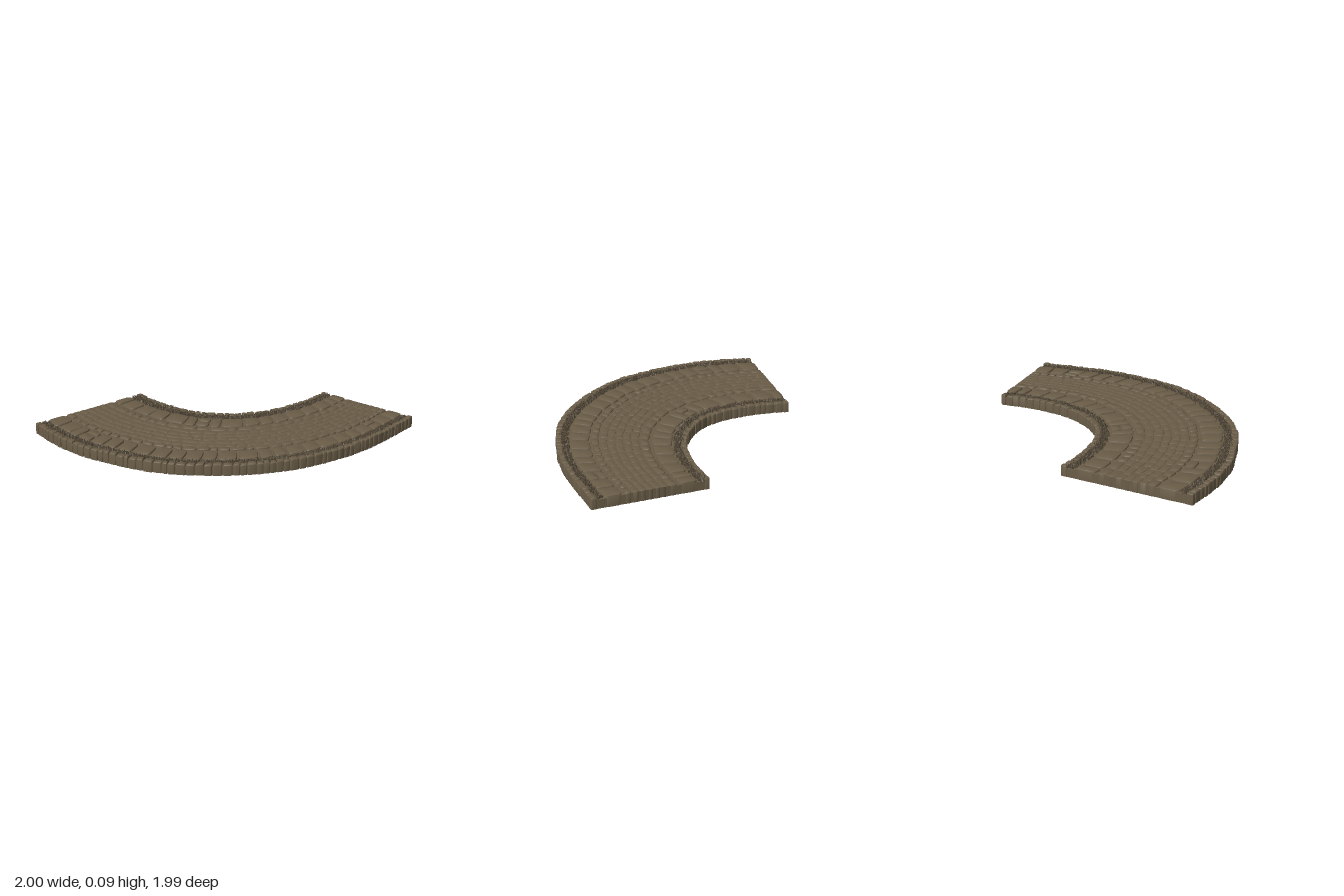
import * as THREE from 'three';
import { toCreasedNormals } from 'three/addons/utils/BufferGeometryUtils.js';

// Seeded random numbers
let seed = 7;
function rand(a = 0, b = 1) {
  seed = (seed * 16807) % 2147483647;
  return a + (b - a) * (seed / 2147483647);
}

const curve = pts => {
  const c = new THREE.CatmullRomCurve3(pts.map(([x, z]) => new THREE.Vector3(x, 0, z)), false, 'centripetal');
  c.arcLengthDivisions = 400;
  return c;
};
const outer = curve([[-0.91, -1], [-0.96, -0.8], [-0.99, -0.6], [-0.995, -0.42], [-0.97, -0.22], [-0.91, 0.05],
  [-0.8, 0.29], [-0.62, 0.52], [-0.4, 0.72], [-0.15, 0.86], [0.1, 0.94], [0.35, 0.985], [0.6, 0.995], [0.8, 0.985], [1, 0.975]]);
const inner = curve([[0.05, -0.88], [0.02, -0.7], [0.01, -0.5], [0.035, -0.32], [0.1, -0.17], [0.22, -0.03],
  [0.38, 0.07], [0.55, 0.13], [0.75, 0.16], [1, 0.16]]);

// Road coordinates: u runs along the bend, v from the outer to the inner edge
function place(u, v, y) {
  const t = THREE.MathUtils.clamp(u, 0, 1);
  const p = outer.getPointAt(t).lerp(inner.getPointAt(t), v);
  p.y = y;
  return p;
}

function geometryFrom(positions, index) {
  const g = new THREE.BufferGeometry();
  g.setAttribute('position', new THREE.Float32BufferAttribute(positions, 3));
  if (index) g.setIndex(index);
  return g;
}

// One rounded block: rings from the ground to a softly domed top
function addStone(out, corners, top, { sides, round, bevel }) {
  const rings = [[1, 0], [1, top - bevel], [0.96, top - bevel * 0.35], [0.85, top]];
  const start = out.pos.length / 3;
  const at = (a, b, y) => {
    const s = (a + 1) / 2, t = (b + 1) / 2;
    const mix = k => (corners[0][k] * (1 - s) + corners[1][k] * s) * (1 - t) +
      (corners[3][k] * (1 - s) + corners[2][k] * s) * t;
    out.pos.push(...place(mix(0), mix(1), y).toArray());
  };
  const power = c => Math.sign(c) * Math.pow(Math.abs(c), 2 / round);
  for (const [scale, y] of rings) {
    for (let k = 0; k < sides; k++) {
      const a = (k + 0.5) / sides * Math.PI * 2;
      at(power(Math.cos(a)) * scale, power(Math.sin(a)) * scale, y);
    }
  }
  at(0, 0, top + 0.001);
  at(0, 0, 0);
  const topMid = start + rings.length * sides, lowMid = topMid + 1;
  for (let k = 0; k < sides; k++) {
    const n = (k + 1) % sides;
    for (let r = 0; r < rings.length - 1; r++) {
      const a = start + r * sides, b = a + sides;
      out.index.push(a + k, a + n, b + n, a + k, b + n, b + k);
    }
    const last = topMid - sides;
    out.index.push(last + k, last + n, topMid, start + n, start + k, lowMid);
  }
}

// A row of blocks of uneven length following the bend
function stoneRow(out, o) {
  const edges = [0];
  for (let i = 0; i < o.count; i++) edges.push(edges[i] + rand(0.65, 1.35));
  const total = edges[o.count];
  const phase0 = o.v0 * 90, phase1 = o.v1 * 90;
  const wave = (u, phase) => o.wave * Math.sin(u * 61 + phase);
  const gapU = o.gap / o.length;
  for (let i = 0; i < o.count; i++) {
    const u0 = edges[i] / total, u1 = edges[i + 1] / total;
    const j = () => rand(-1, 1) * o.jitter;
    const a = i === 0 ? 0 : u0 + gapU, b = i === o.count - 1 ? 1 : u1 - gapU;
    const inset = () => o.gap + rand(0, o.jitter);
    const slant = j() / o.length;
    const quad = (s, e, lo, hi) => [[s, lo(s)], [e, lo(e)], [e + slant * (e < 1), hi(e)], [s + slant * (s > 0), hi(s)]];
    const i0 = inset(), i1 = inset();
    const lo = u => o.v0 + wave(u, phase0) + i0, hi = u => o.v1 + wave(u, phase1) - i1;
    const top = o.top + rand(-1, 1) * o.uneven;
    // Some wide blocks are broken across into two
    if (o.split && rand() < o.split) {
      const cut = THREE.MathUtils.lerp(o.v0, o.v1, rand(0.38, 0.62));
      addStone(out, quad(a, b, lo, () => cut - o.gap), top, o);
      addStone(out, quad(a, b, () => cut + o.gap, hi), top - 0.001, o);
    } else addStone(out, quad(a, b, lo, hi), top, o);
  }
}

// Solid bed beneath the blocks, swept from a cross-section
function bedGeometry() {
  const section = [[0.01, 0], [0.01, 0.062], [0.3, 0.066], [0.34, 0.0725], [0.68, 0.0725], [0.72, 0.066], [0.99, 0.062], [0.99, 0]];
  const n = section.length, steps = 90, pos = [], index = [];
  for (let i = 0; i <= steps; i++) {
    for (const [v, y] of section) pos.push(...place(0.001 + 0.998 * i / steps, v, y).toArray());
  }
  for (let i = 0; i < steps; i++) {
    for (let j = 0; j < n; j++) {
      const a = i * n + j, b = i * n + (j + 1) % n;
      index.push(a, a + n, b + n, a, b + n, b);
    }
  }
  const end = steps * n;
  for (let j = 1; j < n - 1; j++) index.push(0, j, j + 1, end, end + j + 1, end + j);
  return toCreasedNormals(geometryFrom(pos, index), 0.5);
}

// Rough strip of tiny leaning tufts
function tuftGeometry(v0, v1, count) {
  const pos = [];
  for (let i = 0; i < count; i++) {
    const c = place(rand(0.004, 0.996), (v0 + v1) / 2 + (rand() + rand() - 1) * (v1 - v0) / 2, 0.062);
    const r = rand(0.006, 0.012), turn = rand(0, Math.PI * 2);
    const tip = c.clone().add(new THREE.Vector3(rand(-0.009, 0.009), rand(0.014, 0.026), rand(-0.009, 0.009)));
    const foot = k => {
      const a = turn - k * Math.PI * 2 / 3;
      return [c.x + Math.cos(a) * r, c.y, c.z + Math.sin(a) * r];
    };
    for (let k = 0; k < 3; k++) pos.push(...foot(k), ...foot(k + 1), ...tip.toArray());
  }
  const g = geometryFrom(pos);
  g.computeVertexNormals();
  return g;
}

export function createModel() {
  seed = 7;
  const group = new THREE.Group();
  group.name = 'curvedCobbleRoad';
  const stone = new THREE.MeshStandardMaterial({ color: 0x6a5d48 });
  stone.name = 'brown stone';
  const moss = new THREE.MeshStandardMaterial({ color: 0x544938 });
  moss.name = 'dark earth';
  const add = (name, geometry, material) => {
    const mesh = new THREE.Mesh(geometry, material);
    mesh.name = name;
    group.add(mesh);
  };
  const addRows = (name, rows) => {
    const out = { pos: [], index: [] };
    for (const row of rows) stoneRow(out, row);
    add(name, toCreasedNormals(geometryFrom(out.pos, out.index), 0.7), stone);
  };

  add('roadBed', bedGeometry(), stone);

  // Kerbs along both edges
  const kerb = { gap: 0.0025, jitter: 0.006, wave: 0, top: 0.078, uneven: 0.003, sides: 16, round: 7, bevel: 0.008 };
  addRows('outerKerb', [{ ...kerb, v0: -0.004, v1: 0.055, count: 62, length: 2.9 }]);
  addRows('innerKerb', [{ ...kerb, v0: 0.948, v1: 1.004, count: 34, length: 1.55 }]);

  // Large blocks beside each kerb
  const large = { gap: 0.005, jitter: 0.008, wave: 0.004, top: 0.079, uneven: 0.0015, sides: 20, round: 5, bevel: 0.008 };
  addRows('outerLargeBlocks', [{ ...large, v0: 0.098, v1: 0.27, count: 25, length: 2.6, split: 0.15 }]);
  addRows('innerLargeBlocks', [{ ...large, v0: 0.725, v1: 0.895, count: 17, length: 1.75, split: 0.1 }]);

  // Medium blocks, then the worn small cobbles in the middle
  const medium = { ...large, gap: 0.004, top: 0.0775, sides: 16, round: 4 };
  addRows('mediumBlocks', [
    { ...medium, v0: 0.27, v1: 0.34, count: 34, length: 2.4 },
    { ...medium, v0: 0.64, v1: 0.725, count: 23, length: 1.95 },
  ]);
  const worn = [];
  for (let i = 0; i < 5; i++) {
    worn.push({ gap: 0.0015, jitter: 0.005, wave: 0.006, top: 0.0755, uneven: 0.0006, sides: 16, round: 5, bevel: 0.003,
      v0: 0.34 + i * 0.06, v1: 0.4 + i * 0.06, count: 30 - i * 2, length: 2.3 - i * 0.08 });
  }
  addRows('wornCobbles', worn);

  // Tufted earth between kerbs and blocks
  add('outerTufts', tuftGeometry(0.03, 0.105, 3600), moss);
  add('innerTufts', tuftGeometry(0.895, 0.98, 2200), moss);
  return group;
}
